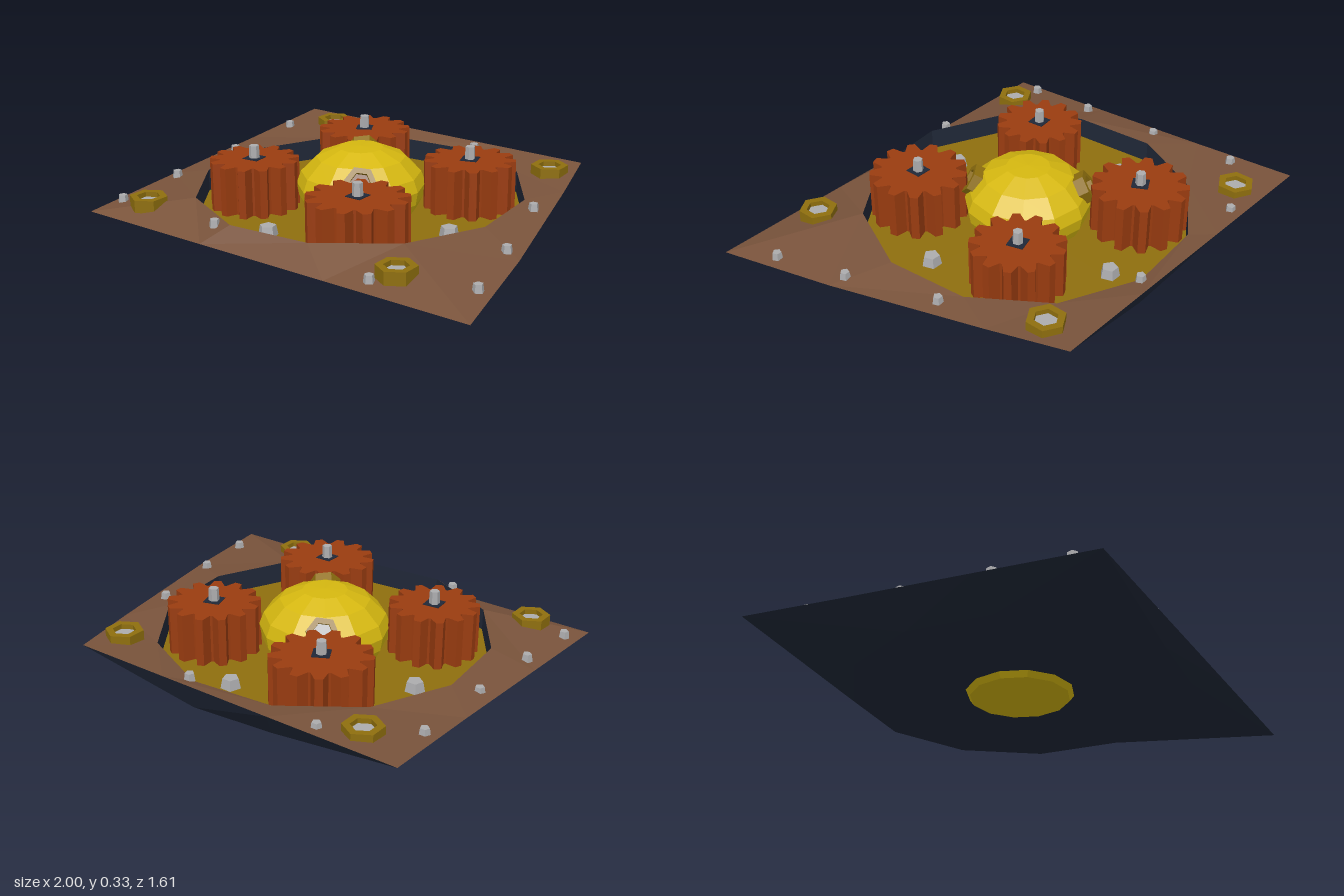
import * as THREE from 'three';

const mat = (name, color, extra = {}) => {
  const m = new THREE.MeshStandardMaterial({ color, flatShading: true, ...extra });
  m.name = name;
  return m;
};

export function createModel() {
  const root = new THREE.Group();
  const M = {
    copper: mat('copper brown', 0x7a543c),
    dark: mat('dark steel', 0x202838),
    brass: mat('brass', 0x8f6f0e),
    yellow: mat('polished yellow', 0xd6b810),
    rust: mat('rust orange', 0x9a3c10),
    steel: mat('light steel', 0xacacae),
  };
  const add = (name, geo, material, x = 0, y = 0, z = 0, parent = root) => {
    const mesh = new THREE.Mesh(geo, material);
    mesh.name = name;
    mesh.position.set(x, y, z);
    parent.add(mesh);
    return mesh;
  };

  // Cross-section rings: the twelve-sided well and the skewed plate outline
  const CX = -0.085, SIDES = 12;
  const ring = (r, y) => Array.from({ length: SIDES }, (_, i) => {
    const a = THREE.MathUtils.degToRad(10 + i * 30);
    return [CX + r * Math.cos(a), y, r * Math.sin(a)];
  });
  const edge = [
    [0.885, 0.26], [1, 0.805], [0.33, 0.805], [-0.32, 0.805], [-0.98, 0.805], [-0.985, 0.27],
    [-0.99, -0.3], [-1, -0.805], [-0.4, -0.805], [0.14, -0.805], [0.6, -0.805], [0.7, -0.45],
  ].map(([x, z]) => [x, 0.118 - 0.066 * z, z]);

  // Strip of faces between two rings; diagonals mirror at the plate corners
  const band = (A, B) => {
    const pos = [];
    for (let i = 0; i < SIDES; i++) {
      const j = (i + 1) % SIDES;
      const tris = i % 3 === 0
        ? [A[i], B[j], A[j], A[i], B[i], B[j]]
        : [A[i], B[i], A[j], A[j], B[i], B[j]];
      tris.forEach(p => pos.push(...p));
    }
    const g = new THREE.BufferGeometry();
    g.setAttribute('position', new THREE.Float32BufferAttribute(pos, 3));
    g.computeVertexNormals();
    return g;
  };
  const R = 0.742, RIM = 0.15, FLOOR = 0.05, BASE = 0.025;
  add('topPlate', band(edge, ring(R, RIM)), M.copper);
  add('wellWall', band(ring(R, RIM), ring(R, FLOOR)), M.dark);
  add('wellFloor', band(ring(R, FLOOR), ring(0.1, FLOOR)), M.brass);
  add('hullSides', band(ring(R, BASE), edge), M.dark);
  add('hullBottom', band(ring(0.1, BASE), ring(R, BASE)), M.dark);

  // Faceted dome that passes through the hull
  const profile = [[0, 0], [0.22, 0], [0.25, 0.04], [0.28, 0.1], [0.29, 0.16],
    [0.27, 0.215], [0.2, 0.285], [0.1, 0.328], [0, 0.332]].map(p => new THREE.Vector2(...p));
  add('dome', new THREE.LatheGeometry(profile, 12), M.yellow, CX, 0, 0).rotation.y = 0.1;

  // Gears with a dark square socket and a steel shaft
  const gearGeometry = (r, teeth) => {
    const s = new THREE.Shape();
    const step = Math.PI * 2 / teeth;
    for (let i = 0; i < teeth; i++) {
      [[0, 0.77], [0.27, 1], [0.6, 1], [0.87, 0.77]].forEach(([t, k], n) => {
        const a = (i + t) * step;
        s[i + n ? 'lineTo' : 'moveTo'](r * k * Math.cos(a), r * k * Math.sin(a));
      });
    }
    s.closePath();
    return new THREE.ExtrudeGeometry(s, { depth: 0.22, bevelEnabled: false }).rotateX(-Math.PI / 2);
  };
  [[-0.37, -0.41, 0.218, 0.5], [0.31, -0.285, 0.206, 0.3], [-0.48, 0.27, 0.2, 0.1], [0.2, 0.405, 0.22, 0]]
    .forEach(([x, z, r, turn]) => {
      const g = new THREE.Group();
      g.name = 'gear';
      g.position.set(x, FLOOR, z);
      g.rotation.y = turn;
      root.add(g);
      add('gearWheel', gearGeometry(r, 13), M.rust, 0, 0, 0, g);
      add('socket', new THREE.BoxGeometry(0.075, 0.006, 0.075), M.dark, 0, 0.22, 0, g);
      add('shaft', new THREE.CylinderGeometry(0.022, 0.027, 0.14, 6), M.steel, 0, 0.21, 0, g);
    });

  // Five-sided bolts: large ones on the well floor, small ones around the plate
  const bolt = (name, x, y, z, r, h) => add(name,
    new THREE.CylinderGeometry(r * 0.8, r, h, 5), M.steel, x, y + h / 2, z);
  [[0.005, -0.54], [-0.625, -0.1], [0.447, 0.09], [-0.183, 0.53]]
    .forEach(([x, z]) => bolt('floorBolt', x, FLOOR, z, 0.045, 0.045));
  [[-0.595, 0.155, -0.745], [0.055, 0.15, -0.735], [-0.935, 0.145, -0.52], [-0.922, 0.125, -0.085],
    [-0.92, 0.105, 0.32], [-0.925, 0.08, 0.66], [-0.305, 0.12, 0.725], [0.505, 0.08, 0.74],
    [0.893, 0.085, 0.58], [0.813, 0.11, 0.235], [0.693, 0.135, -0.19]]
    .forEach(([x, y, z]) => bolt('rimBolt', x, y, z, 0.025, 0.035));

  // Hexagonal nuts with a core inside; local y is the nut axis
  const hexPath = (target, r) => {
    for (let i = 0; i < 6; i++) {
      const a = (i + 0.5) * Math.PI / 3;
      target[i ? 'lineTo' : 'moveTo'](r * Math.cos(a), r * Math.sin(a));
    }
    target.closePath();
    return target;
  };
  const nut = (name, r, hole, h, core, coreTop) => {
    const g = new THREE.Group();
    g.name = name;
    const s = hexPath(new THREE.Shape(), r);
    s.holes.push(hexPath(new THREE.Path(), hole));
    const geo = new THREE.ExtrudeGeometry(s, { depth: h, bevelEnabled: false }).rotateX(-Math.PI / 2);
    add('nutRing', geo, M.brass, 0, 0, 0, g);
    add('nutCore', new THREE.CylinderGeometry(hole, hole, coreTop, 6), core, 0, coreTop / 2, 0, g);
    root.add(g);
    return g;
  };
  [[-0.755, 0.14, -0.665], [0.53, 0.14, -0.625], [-0.755, 0.09, 0.665], [0.58, 0.09, 0.665]]
    .forEach(([x, y, z]) => nut('cornerNut', 0.085, 0.052, 0.057, M.steel, 0.035).position.set(x, y, z));

  // Two nuts set into the dome, facing outward
  const up = new THREE.Vector3(0, 1, 0);
  [[0.045, 0.225, 0.18, 0.6, 0.55, 0.75, M.copper], [-0.215, 0.225, -0.195, -0.6, 0.6, -0.75, M.steel]]
    .forEach(([x, y, z, nx, ny, nz, core]) => {
      const g = nut('domeNut', 0.072, 0.045, 0.05, core, 0.025);
      g.position.set(x, y, z);
      g.quaternion.setFromUnitVectors(up, new THREE.Vector3(nx, ny, nz).normalize());
    });

  return root;
}
